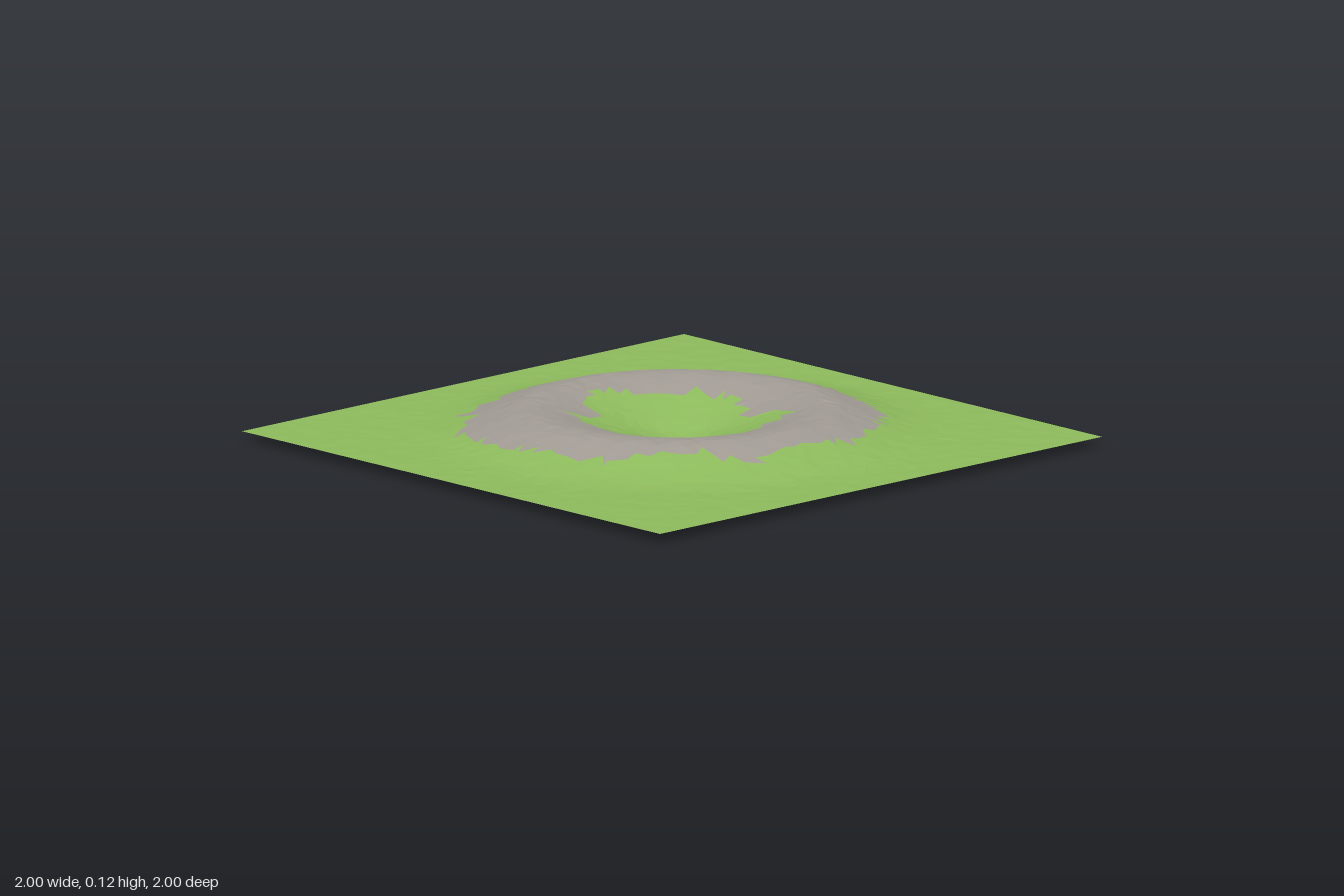
import * as THREE from 'three';

const CELLS = 44;
const CENTER = new THREE.Vector2(0.04, -0.01);
// Crater cross-section: radius, height
const PROFILE = [[0, 0.002], [0.05, 0.006], [0.1, 0.018], [0.15, 0.035], [0.25, 0.066], [0.35, 0.097],
  [0.42, 0.116], [0.47, 0.124], [0.51, 0.124], [0.55, 0.115], [0.62, 0.092], [0.7, 0.066],
  [0.77, 0.047], [0.83, 0.038], [0.88, 0.035], [3, 0.035]];
// Ragged borders of the bare rock ring, in x and z
const ROCK_OUTER = [[0.68, -0.35], [0.65, -0.2], [0.66, 0], [0.64, 0.17], [0.6, 0.38], [0.4, 0.54], [0.2, 0.62],
  [0, 0.57], [-0.2, 0.61], [-0.33, 0.44], [-0.57, 0.25], [-0.6, 0.05], [-0.64, -0.2], [-0.56, -0.43], [-0.41, -0.5],
  [-0.39, -0.6], [-0.2, -0.62], [0.08, -0.7], [0.2, -0.61], [0.43, -0.67], [0.48, -0.47], [0.62, -0.45]];
const ROCK_INNER = [[0.04, -0.4], [0.12, -0.36], [0.2, -0.28], [0.3, -0.22], [0.36, -0.08], [0.27, 0.07],
  [0.34, 0.17], [0.31, 0.25], [0.15, 0.25], [0.05, 0.29], [-0.1, 0.23], [-0.2, 0.19], [-0.2, 0.1],
  [-0.26, 0.02], [-0.24, -0.1], [-0.27, -0.16], [-0.22, -0.24], [-0.1, -0.24], [-0.08, -0.33]];

function seeded(seed) {
  return () => {
    seed = (seed * 16807) % 2147483647;
    return seed / 2147483647;
  };
}

function profileHeight(r) {
  const i = PROFILE.findIndex(p => p[0] > r);
  const [r0, h0] = PROFILE[i - 1], [r1, h1] = PROFILE[i];
  return h0 + (h1 - h0) * (r - r0) / (r1 - r0);
}

function inside(x, z, outline) {
  let hit = false;
  outline.forEach(([ax, az], i) => {
    const [bx, bz] = outline[(i + 1) % outline.length];
    if ((az > z) !== (bz > z) && x < ax + (bx - ax) * (z - az) / (bz - az)) hit = !hit;
  });
  return hit;
}

export function createModel() {
  const random = seeded(4711);
  const grass = new THREE.MeshStandardMaterial({ color: 0x8dba5c, flatShading: true, side: THREE.DoubleSide });
  const rock = new THREE.MeshStandardMaterial({ color: 0xa09a93, flatShading: true, side: THREE.DoubleSide });
  grass.name = 'grass green';
  rock.name = 'rock grey';

  // Jittered grid of points lifted to the crater profile
  const step = 2 / CELLS, points = [];
  for (let j = 0; j <= CELLS; j++) {
    for (let i = 0; i <= CELLS; i++) {
      const edgeX = i === 0 || i === CELLS, edgeZ = j === 0 || j === CELLS;
      const x = -1 + i * step + (edgeX ? 0 : (random() - 0.5) * step * 0.6);
      const z = -1 + j * step + (edgeZ ? 0 : (random() - 0.5) * step * 0.6);
      const r = Math.hypot(x - CENTER.x, z - CENTER.y);
      const bump = edgeX || edgeZ ? 0 : (random() - 0.5) * 0.003;
      points.push(new THREE.Vector3(x, Math.max(0, profileHeight(r) + bump), z));
    }
  }

  // Sort the facets into grass and rock
  const faces = { meadow: [], craterFloor: [], craterRim: [] };
  const addFace = (...corners) => {
    const [a, b, c] = corners.map(k => points[k]);
    const x = (a.x + b.x + c.x) / 3, z = (a.z + b.z + c.z) / 3;
    const part = inside(x, z, ROCK_INNER) ? 'craterFloor' : inside(x, z, ROCK_OUTER) ? 'craterRim' : 'meadow';
    for (const p of [a, b, c]) faces[part].push(p);
  };
  const row = CELLS + 1;
  for (let j = 0; j < CELLS; j++) {
    for (let i = 0; i < CELLS; i++) {
      const a = j * row + i, b = a + 1, c = a + row, d = c + 1;
      if (random() < 0.5) {
        addFace(a, c, b);
        addFace(b, c, d);
      } else {
        addFace(a, c, d);
        addFace(a, d, b);
      }
    }
  }

  const group = new THREE.Group();
  group.name = 'craterTerrain';
  for (const [name, corners] of Object.entries(faces)) {
    const geometry = new THREE.BufferGeometry().setFromPoints(corners);
    geometry.computeVertexNormals();
    const mesh = new THREE.Mesh(geometry, name === 'craterRim' ? rock : grass);
    mesh.name = name;
    group.add(mesh);
  }
  return group;
}
